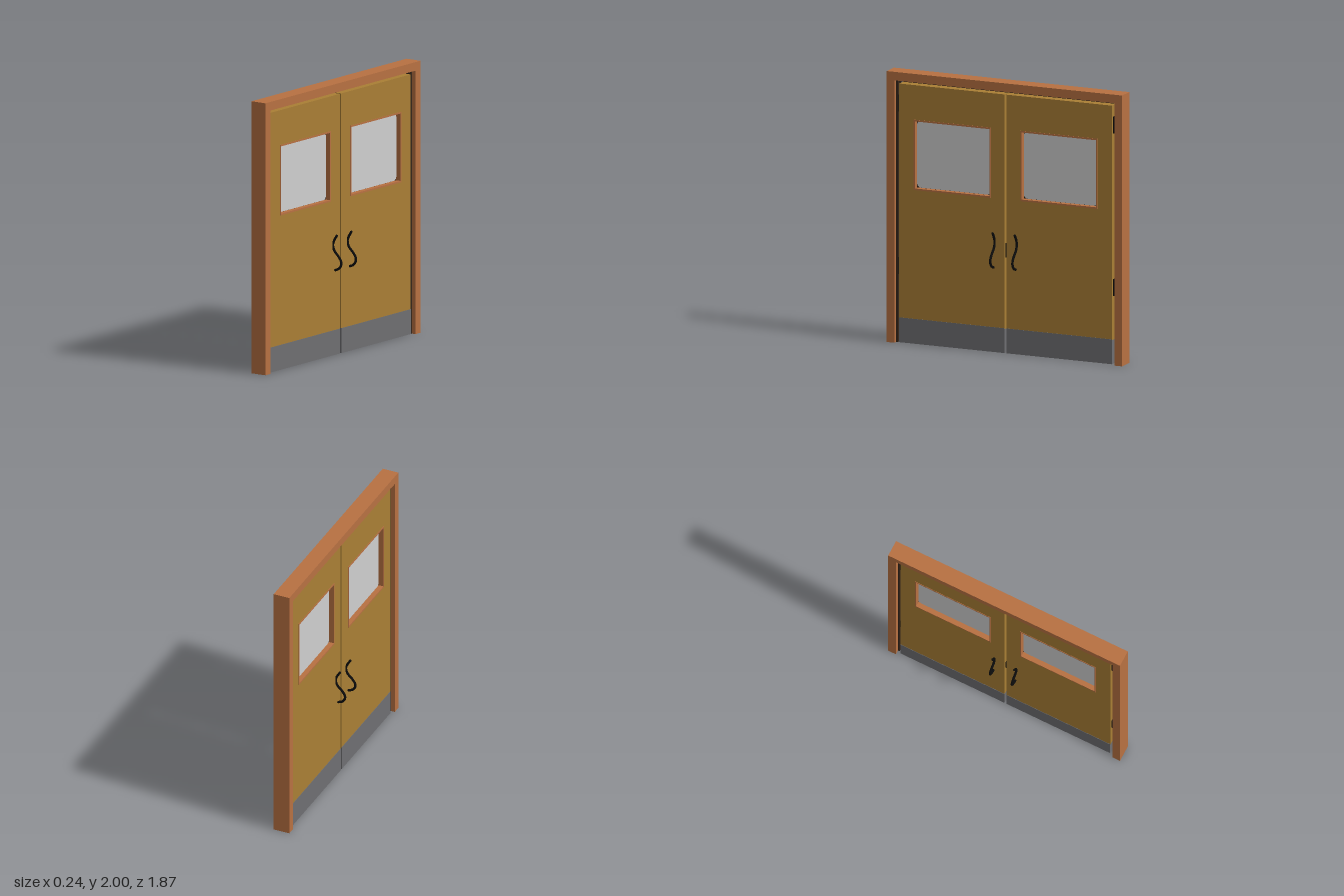
import * as THREE from 'three';

const material = (name, color) => {
  const m = new THREE.MeshStandardMaterial({ color });
  m.name = name;
  return m;
};

export function createModel() {
  const frameWood = material('frame wood', 0xb87142);
  const doorWood = material('door wood', 0xaa7f35);
  const steel = material('steel', 0x6f6f72);
  const glassGrey = material('glass', 0xd0d0d0);
  const black = material('black', 0x0c0c0c);
  const sealBrown = material('seal brown', 0x35261a);

  const model = new THREE.Group();
  model.name = 'doubleDoor';

  const add = (parent, name, geometry, mat) => {
    const mesh = new THREE.Mesh(geometry, mat);
    mesh.name = name;
    parent.add(mesh);
    return mesh;
  };

  // Box given by its depth in x and its ranges in y and z
  const box = (parent, name, depth, y0, y1, z0, z1, mat) => {
    const mesh = add(parent, name, new THREE.BoxGeometry(depth, y1 - y0, z1 - z0), mat);
    mesh.position.set(0, (y0 + y1) / 2, (z0 + z1) / 2);
    return mesh;
  };

  // Outline drawn in (z, y), extruded evenly to both sides of x = 0
  const slab = (parent, name, shape, depth, mat) => {
    const g = new THREE.ExtrudeGeometry(shape, { depth, bevelEnabled: false, curveSegments: 6 });
    g.translate(0, 0, -depth / 2).rotateY(-Math.PI / 2);
    return add(parent, name, g, mat);
  };

  const rect = (z0, y0, z1, y1) => [[z0, y0], [z1, y0], [z1, y1], [z0, y1]]
    .map(([z, y]) => new THREE.Vector2(z, y));
  const plate = (outer, hole) => {
    const s = new THREE.Shape(outer);
    if (hole) s.holes.push(new THREE.Path(hole));
    return s;
  };
  const roundedRect = (z0, y0, z1, y1, r) => {
    const s = new THREE.Shape();
    s.absarc(z1 - r, y0 + r, r, -Math.PI / 2, 0);
    s.absarc(z1 - r, y1 - r, r, 0, Math.PI / 2);
    s.absarc(z0 + r, y1 - r, r, Math.PI / 2, Math.PI);
    s.absarc(z0 + r, y0 + r, r, Math.PI, Math.PI * 1.5);
    s.closePath();
    return s;
  };

  // Arch open at the floor
  const arch = (zOut, yOut, zIn, yIn) => new THREE.Shape([
    [-zOut, 0], [-zIn, 0], [-zIn, yIn], [zIn, yIn], [zIn, 0], [zOut, 0], [zOut, yOut], [-zOut, yOut],
  ].map(([z, y]) => new THREE.Vector2(z, y)));

  // Surround and the dark seal inside it
  slab(model, 'doorFrame', arch(0.935, 2, 0.874, 1.937), 0.124, frameWood);
  slab(model, 'frameSeal', arch(0.874, 1.937, 0.859, 1.926), 0.06, sealBrown);

  // S-shaped pull handle on the +x face; mirrored by a half turn for the other face
  const pull = new THREE.CatmullRomCurve3([
    [0.072, 0.885], [0.05, 0.85], [0.038, 0.815], [0.052, 0.772], [0.088, 0.735],
    [0.111, 0.7], [0.11, 0.67], [0.09, 0.645], [0.06, 0.632],
  ].map(([x, y]) => new THREE.Vector3(x, y, 0)));
  const pullGeometry = new THREE.TubeGeometry(pull, 40, 0.009, 10);
  const capGeometry = new THREE.SphereGeometry(0.009, 10, 8);

  for (const side of [1, -1]) {
    const door = new THREE.Group();
    door.name = side > 0 ? 'frontDoor' : 'backDoor';
    model.add(door);

    // Leaf with its window opening
    slab(door, 'doorLeaf', plate(rect(0.008, 0.18, 0.846, 1.912), rect(0.125, 1.145, 0.722, 1.65)), 0.08, doorWood);
    box(door, 'kickPlate', 0.084, 0.003, 0.186, 0.008, 0.845, steel);

    // Window trim, gasket and pane
    slab(door, 'windowTrim', plate(rect(0.118, 1.138, 0.729, 1.657), rect(0.128, 1.15, 0.72, 1.645)), 0.086, frameWood);
    box(door, 'windowGasket', 0.008, 1.148, 1.647, 0.126, 0.722, sealBrown);
    slab(door, 'windowPane', roundedRect(0.129, 1.151, 0.719, 1.644, 0.03), 0.012, glassGrey);

    // Hinges in the outer gap
    for (const y of [0.565, 1.765]) {
      box(door, 'hinge', 0.05, y - 0.062, y + 0.062, 0.843, 0.86, black);
    }

    // Handles on both faces
    for (const face of [0, 1]) {
      const handle = new THREE.Group();
      handle.name = 'pullHandle';
      handle.position.z = 0.088;
      handle.rotation.y = face * Math.PI;
      add(handle, 'handleBar', pullGeometry, black);
      for (const t of [0, 1]) add(handle, 'handleEnd', capGeometry, black).position.copy(pull.getPoint(t));
      door.add(handle);
    }
    if (side < 0) door.rotation.y = Math.PI;
  }

  // Latch bridging the two leaves
  box(model, 'latch', 0.05, 0.705, 0.81, -0.01, 0.01, black);

  return model;
}
